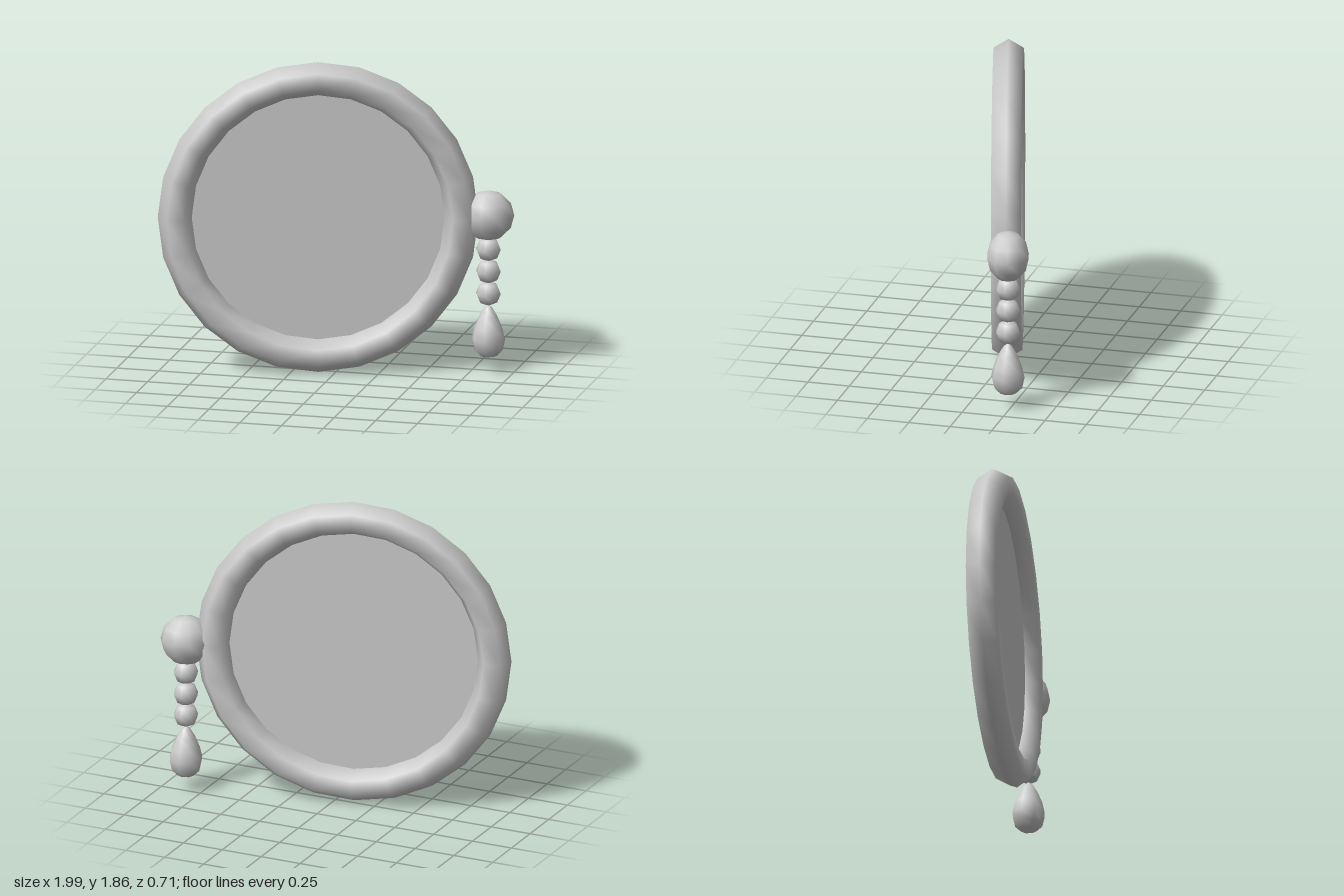
import * as THREE from 'three';

export function createModel() {
  const model = new THREE.Group();
  const lightGrey = new THREE.MeshStandardMaterial({ color: 0xcccccc });
  lightGrey.name = 'lightGrey';

  const add = (parent, name, geometry, x = 0, y = 0, z = 0) => {
    const mesh = new THREE.Mesh(geometry, lightGrey);
    mesh.name = name;
    mesh.position.set(x, y, z);
    parent.add(mesh);
    return mesh;
  };

  // Round mirror, turned a little about the upright axis
  const tilt = THREE.MathUtils.degToRad(15);
  const mirror = new THREE.Group();
  mirror.name = 'mirror';
  mirror.position.set(-0.1, 0.935, 0.035);
  mirror.rotation.y = tilt;
  model.add(mirror);

  // Six-sided ring frame and the thin pane inside it
  add(mirror, 'ringFrame', new THREE.TorusGeometry(0.83, 0.1, 6, 24));
  const pane = new THREE.CylinderGeometry(0.76, 0.76, 0.01, 24);
  pane.rotateX(Math.PI / 2);
  add(mirror, 'mirrorPane', pane);

  // Knob at the side of the frame
  const px = 0.85, pz = -0.235;
  const knob = add(model, 'knob', new THREE.SphereGeometry(0.15, 10, 6), px, 0.94, pz);
  knob.scale.z = 0.84;
  knob.rotation.y = tilt;

  // Hanging string of beads
  [0.738, 0.605, 0.472].forEach((y) => {
    add(model, 'bead', new THREE.SphereGeometry(0.074, 8, 4), px, y, pz);
  });

  // Teardrop at the end of the string
  const drop = [[0, 0.09], [0.05, 0.1], [0.085, 0.135], [0.1, 0.2],
    [0.085, 0.265], [0.055, 0.335], [0.025, 0.385], [0, 0.405]];
  const profile = drop.map(([r, y]) => new THREE.Vector2(r, y));
  add(model, 'teardrop', new THREE.LatheGeometry(profile, 8, Math.PI / 2), px, 0, pz);

  return model;
}
